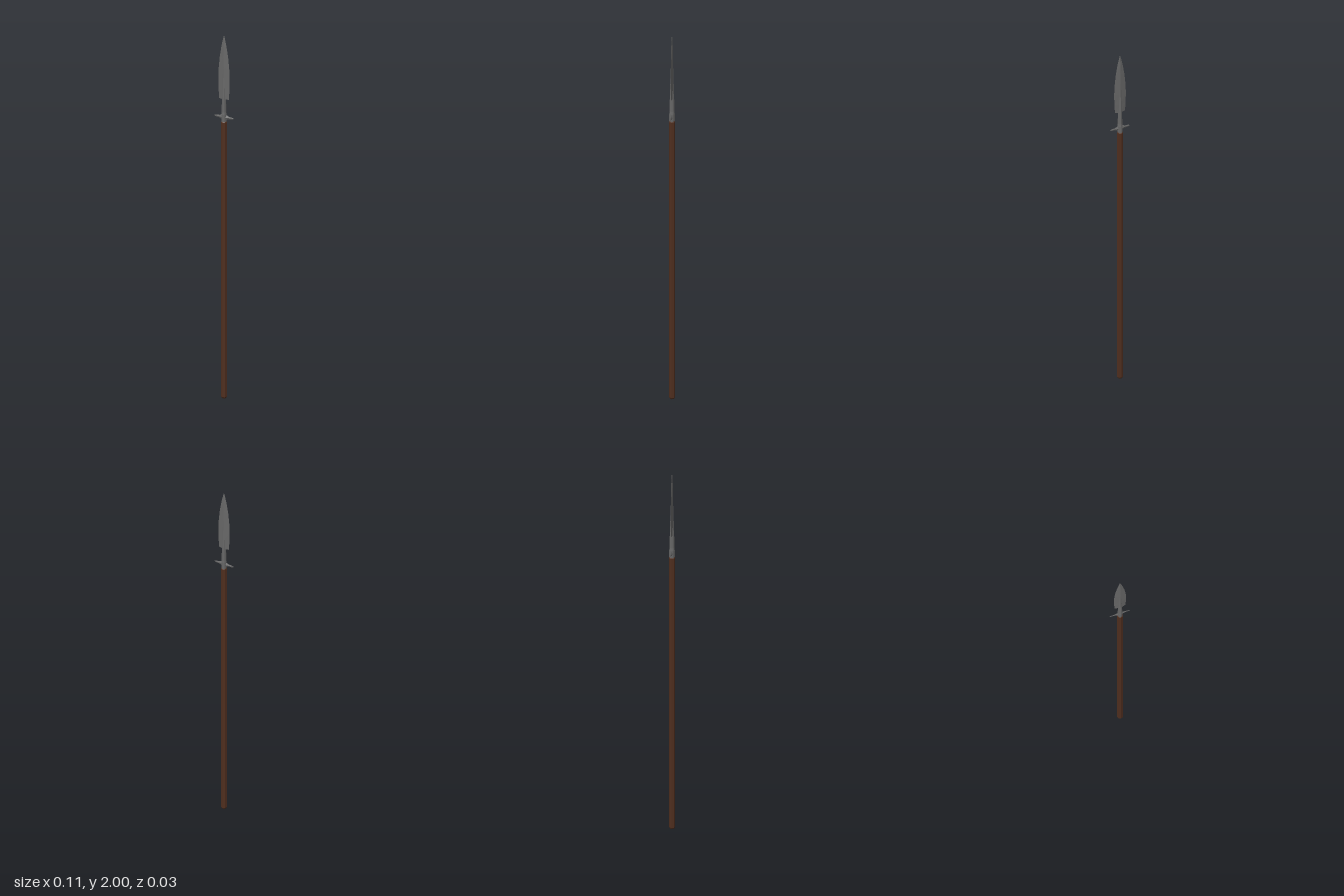
import * as THREE from 'three';

const steel = new THREE.MeshStandardMaterial({ color: 0x676767 });
steel.name = 'steel';
const wood = new THREE.MeshStandardMaterial({ color: 0x4f2e1e });
wood.name = 'wood';

// Faceted mesh: unshared corners give each face its own normal
function faceted(name, geometry, material) {
  const g = geometry.index ? geometry.toNonIndexed() : geometry;
  g.computeVertexNormals();
  const mesh = new THREE.Mesh(g, material);
  mesh.name = name;
  return mesh;
}

// Eight-sided turned part from [radius, height] pairs
function turned(name, profile, material) {
  const points = profile.map(([r, y]) => new THREE.Vector2(r, y));
  return faceted(name, new THREE.LatheGeometry(points, 8), material);
}

// Diamond cross-sections [height, half width, half thickness] joined along y, capped
function diamondLoft(sections) {
  const rings = sections.map(([y, w, t]) => [[w, y, 0], [0, y, -t], [-w, y, 0], [0, y, t]]);
  const pos = [];
  const quad = (a, b, c, d) => pos.push(...a, ...b, ...c, ...a, ...c, ...d);
  for (let i = 0; i < rings.length - 1; i++) {
    const lo = rings[i], hi = rings[i + 1];
    for (let k = 0; k < 4; k++) {
      const n = (k + 1) % 4;
      quad(lo[k], lo[n], hi[n], hi[k]);
    }
  }
  quad(...[...rings[0]].reverse());
  quad(...rings[rings.length - 1]);
  const g = new THREE.BufferGeometry();
  g.setAttribute('position', new THREE.Float32BufferAttribute(pos, 3));
  return g;
}

export function createModel() {
  const spear = new THREE.Group();
  spear.name = 'spear';

  // Wooden pole with chamfered ends
  spear.add(turned('shaft', [
    [0, 0], [0.011, 0], [0.0165, 0.009], [0.0165, 1.522], [0.012, 1.532], [0, 1.532],
  ], wood));

  // Socket narrowing into the rib that runs up the blade
  spear.add(turned('socket', [
    [0, 1.525], [0.0145, 1.525], [0.0145, 1.565], [0.0125, 1.58], [0.0115, 1.66],
    [0.008, 1.76], [0.005, 1.87], [0, 1.965],
  ], steel));

  // Leaf-shaped blade with a shallow ridge
  spear.add(faceted('blade', diamondLoft([
    [1.65, 0.029, 0.007], [1.70, 0.032, 0.007], [1.76, 0.034, 0.0065], [1.82, 0.031, 0.006],
    [1.88, 0.025, 0.005], [1.94, 0.015, 0.004], [1.98, 0.006, 0.002], [2.0, 0.0004, 0.0004],
  ]), steel));

  // Pair of pointed lugs across the socket
  const lugs = diamondLoft([
    [-0.056, 0.002, 0.001], [-0.045, 0.006, 0.002], [-0.028, 0.007, 0.003], [-0.012, 0.014, 0.006],
    [0.012, 0.014, 0.006], [0.028, 0.007, 0.003], [0.045, 0.006, 0.002], [0.056, 0.002, 0.001],
  ]);
  lugs.rotateZ(Math.PI / 2).translate(0, 1.55, 0);
  spear.add(faceted('crossLugs', lugs, steel));

  return spear;
}
